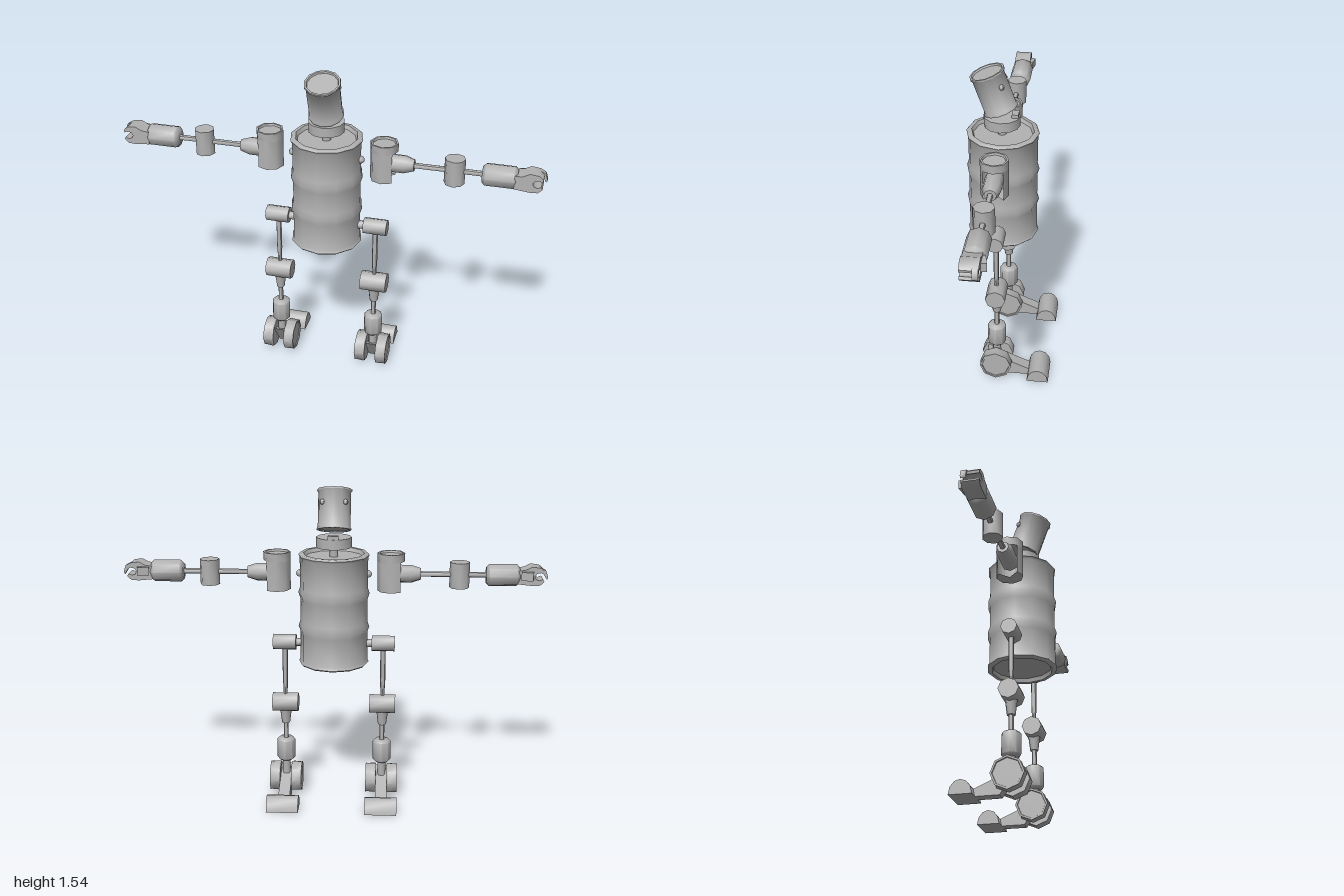
import * as THREE from 'three';
import { toCreasedNormals } from 'three/addons/utils/BufferGeometryUtils.js';

const steel = new THREE.MeshStandardMaterial({ color: 0xb2b2b2, side: THREE.DoubleSide });
steel.name = 'grey steel';

const Z = 0.045; // depth of the limb axes
const CREASE = 0.87;

function add(parent, name, geometry, x = 0, y = 0, z = 0) {
  const mesh = new THREE.Mesh(toCreasedNormals(geometry, CREASE), steel);
  mesh.name = name;
  mesh.position.set(x, y, z);
  parent.add(mesh);
  return mesh;
}

// Turned part from [radius, height] pairs
function turned(pts, sides = 8, start = 0, length = Math.PI * 2) {
  return new THREE.LatheGeometry(pts.map(([r, h]) => new THREE.Vector2(r, h)), sides, start, length);
}

// Closed profile between two heights with optional small chamfer
function rod(r, a, b, c = 0) {
  return c
    ? [[0, a], [r - c, a], [r, a + c], [r, b - c], [r - c, b], [0, b]]
    : [[0, a], [r, a], [r, b], [0, b]];
}

// Turned part lying along x, heights measured outwards from the middle
function across(pts, s, sides = 8) {
  return turned(pts, sides).rotateZ(-s * Math.PI / 2);
}

// Flat outline with thickness; points are [horizontal, vertical]
function plate(points, depth) {
  const shape = new THREE.Shape(points.map(([x, y]) => new THREE.Vector2(x, y)));
  return new THREE.ExtrudeGeometry(shape, { depth, bevelEnabled: false }).translate(0, 0, -depth / 2);
}

function buildBody(root) {
  const body = new THREE.Group();
  body.name = 'body';
  root.add(body);
  // Barrel with rolled rims, two ribs and recessed ends
  add(body, 'barrel', turned([
    [0, 0.71], [0.14, 0.71], [0.145, 0.69], [0.162, 0.69], [0.169, 0.697], [0.162, 0.71],
    [0.161, 0.845], [0.17, 0.873], [0.161, 0.9],
    [0.161, 1.01], [0.17, 1.038], [0.161, 1.065],
    [0.162, 1.21], [0.169, 1.222], [0.162, 1.23], [0.145, 1.23], [0.137, 1.212], [0, 1.212],
  ], 12), 0, 0, 0.041);
  for (const s of [1, -1]) {
    add(body, 'shoulderBolt', new THREE.SphereGeometry(0.018, 8, 6), s * 0.162, 1.13, Z);
    add(body, 'hipBolt', across(rod(0.02, 0.15, 0.185), s), 0, 0.787, Z);
  }
}

function buildHead(root) {
  add(root, 'neckPost', turned(rod(0.02, 1.2, 1.265)), 0, 0, Z);
  add(root, 'collar', turned(rod(0.084, 1.258, 1.306), 12), 0, 0, Z);
  add(root, 'collarTab', new THREE.BoxGeometry(0.05, 0.03, 0.03), 0, 1.307, -0.017);
  // Can tipped forward with a rolled rim on both ends
  const head = new THREE.Group();
  head.name = 'head';
  head.position.set(0, 1.337, 0.049);
  head.rotation.x = 0.34;
  root.add(head);
  add(head, 'can', turned([
    [0, 0.005], [0.07, 0.005], [0.072, 0], [0.081, 0], [0.082, 0.006], [0.077, 0.012],
    [0.077, 0.176], [0.083, 0.183], [0.082, 0.191], [0.073, 0.191], [0.07, 0.183], [0, 0.183],
  ], 12));
  for (const s of [1, -1])
    add(head, 'headBolt', new THREE.SphereGeometry(0.013, 8, 6), s * 0.054, 0.123, -0.054);
}

function buildArm(root, s) {
  const arm = new THREE.Group();
  arm.name = s > 0 ? 'leftArm' : 'rightArm';
  arm.position.set(0, 1.133, Z);
  root.add(arm);
  // Shoulder can, slotted on its outer side
  add(arm, 'shoulderCap', turned([
    [0, 0.06], [0.064, 0.06], [0.065, 0.1], [0.056, 0.1], [0.053, 0.09], [0, 0.09],
  ]), s * 0.27);
  add(arm, 'shoulderShell', turned([[0, -0.082], [0.064, -0.082], [0.064, 0.06]],
    6, s > 0 ? Math.PI * 0.75 : -Math.PI * 0.25, Math.PI * 1.5), s * 0.27);
  add(arm, 'shoulderCone', across(
    [[0, 0.26], [0.043, 0.26], [0.043, 0.365], [0.028, 0.41], [0, 0.41]], s));
  add(arm, 'armRod', across(rod(0.013, 0.4, 0.73), s));
  add(arm, 'elbow', turned(rod(0.047, -0.062, 0.06)), s * 0.592);
  add(arm, 'forearm', across(rod(0.053, 0.716, 0.872, 0.014), s));
  // C-shaped gripper, open on its outer side
  const outline = [
    [0.86, 0.028], [0.895, 0.032], [0.925, 0.048], [0.965, 0.043], [0.985, 0.025], [0.982, 0.012],
    [0.968, 0.02], [0.948, 0.016], [0.94, 0.002], [0.946, -0.012], [0.962, -0.017],
    [0.978, -0.01], [0.984, -0.022], [0.965, -0.04], [0.93, -0.042], [0.86, -0.035],
  ];
  add(arm, 'gripper', plate(outline.map(([x, y]) => [s * x, y]), 0.08), 0, 0, 0.004);
  // Longer fingertip and thumb on the back edge
  const tip = [[0.965, 0.043], [0.99, 0.03], [1, 0.0], [0.995, -0.012], [0.985, 0.004], [0.975, 0.018]];
  add(arm, 'fingertip', plate(tip.map(([x, y]) => [s * x, y]), 0.025), 0, 0, -0.022);
  const thumb = add(arm, 'thumb', new THREE.BoxGeometry(0.055, 0.04, 0.025), s * 0.905, 0.005, -0.042);
  thumb.rotation.y = s * 0.2;
}

function buildLeg(root, s) {
  const leg = new THREE.Group();
  leg.name = s > 0 ? 'leftLeg' : 'rightLeg';
  leg.position.set(s * 0.238, 0, Z);
  root.add(leg);
  add(leg, 'hip', across(rod(0.039, -0.055, 0.056), s), 0, 0.787);
  add(leg, 'thighRod', turned([[0, 0.5], [0.009, 0.5], [0.01, 0.54], [0.013, 0.6], [0.013, 0.77], [0, 0.77]]));
  add(leg, 'knee', across(rod(0.048, -0.063, 0.063), s), 0, 0.477);
  add(leg, 'kneeCone', turned([[0, 0.37], [0.02, 0.37], [0.03, 0.45], [0, 0.45]]));
  add(leg, 'shinRod', turned(rod(0.012, 0.28, 0.38)));
  add(leg, 'shin', turned(rod(0.045, 0.175, 0.29, 0.01)));
  add(leg, 'ankleRod', turned(rod(0.02, 0.1, 0.18)));
  // Pair of drum-shaped discs with recessed outer faces
  for (const side of [1, -1])
    add(leg, 'footDisc', across([
      [0, 0.027], [0.075, 0.027], [0.078, 0.034], [0.075, 0.07], [0.077, 0.078],
      [0.068, 0.078], [0.066, 0.073], [0, 0.073],
    ], side), 0, 0.082);
  // Wedge bar running back to the heel
  const bar = [[0.045, 0.13], [-0.045, 0.085], [-0.16, 0.035], [-0.16, 0], [-0.045, 0]];
  add(leg, 'footBar', plate(bar.map(([z, y]) => [-z, y]), 0.056).rotateY(Math.PI / 2));
  // Half-round heel
  const heel = [];
  for (let i = 0; i <= 6; i++) {
    const a = Math.PI * i / 6;
    heel.push([0.207 + 0.053 * Math.cos(a), 0.067 * Math.sin(a)]);
  }
  add(leg, 'heel', plate(heel, 0.155).rotateY(Math.PI / 2));
}

export function createModel() {
  const root = new THREE.Group();
  root.name = 'robot';
  buildBody(root);
  buildHead(root);
  for (const s of [1, -1]) {
    buildArm(root, s);
    buildLeg(root, s);
  }
  return root;
}
